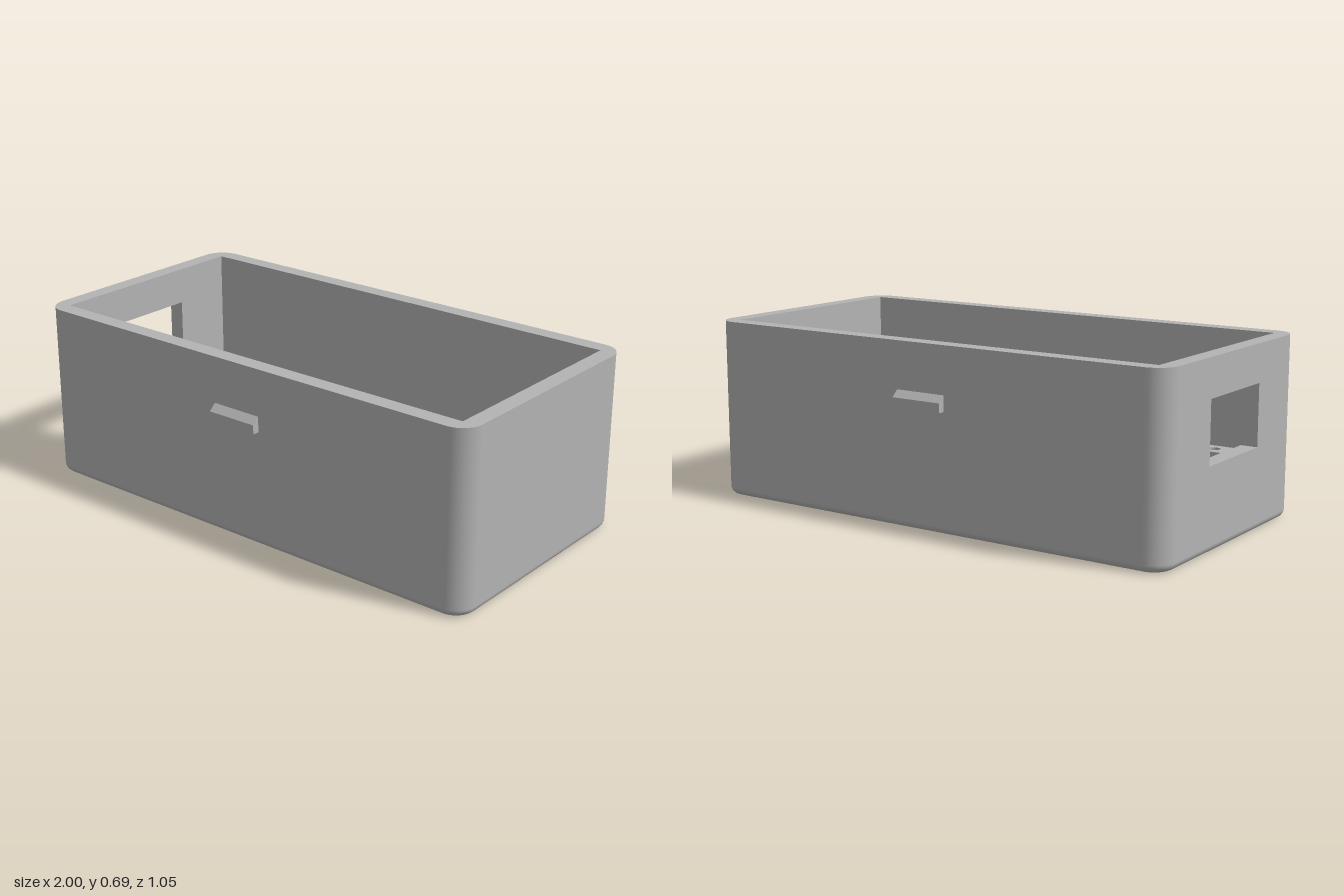
import * as THREE from 'three';

const W = 1, D = 0.5, H = 0.695;          // half length, half depth, height
const WALL = 0.065, FLOOR = 0.06;
const R = 0.085, FILLET = 0.03, SEG = 8;  // corner radius, bottom rounding
const WIN = { z: 0.185, y0: 0.315, y1: 0.55 };

const grey = new THREE.MeshStandardMaterial({ color: 0xb3b3b3 });
grey.name = 'light grey';

function add(group, name, geo, pos = [0, 0, 0], rot = [0, 0, 0]) {
  const mesh = new THREE.Mesh(geo, grey);
  mesh.name = name;
  mesh.position.set(...pos);
  mesh.rotation.set(...rot);
  group.add(mesh);
  return mesh;
}

function rect(Type, x0, y0, x1, y1) {
  const s = new Type();
  s.moveTo(x0, y0); s.lineTo(x1, y0); s.lineTo(x1, y1); s.lineTo(x0, y1);
  s.closePath();
  return s;
}

// Rounded rectangle of the box outline, drawn in by an inset
function outline(inset) {
  const s = new THREE.Shape(), r = R - inset, q = Math.PI / 2;
  [[1, 1], [-1, 1], [-1, -1], [1, -1]].forEach(([sx, sy], k) =>
    s.absarc(sx * (W - R), sy * (D - R), r, k * q, (k + 1) * q, false));
  s.closePath();
  return s;
}

// Outer skin: outline loops up the bottom rounding, then straight to the rim.
// The flat end at -x is left open for the panel with the window.
function skinGeometry() {
  const pos = [], nor = [], idx = [], steps = 6, n = 4 * (SEG + 1);
  for (let i = 0; i <= steps + 1; i++) {
    const t = (1 - Math.min(i, steps) / steps) * Math.PI / 2;
    const y = i > steps ? H : FILLET * (1 - Math.sin(t));
    const r = R - FILLET * (1 - Math.cos(t));
    for (let k = 0; k < 4; k++) {
      const cx = (k === 0 || k === 3 ? 1 : -1) * (W - R), cz = (k < 2 ? 1 : -1) * (D - R);
      for (let j = 0; j <= SEG; j++) {
        const a = (k + j / SEG) * Math.PI / 2;
        pos.push(cx + r * Math.cos(a), y, cz + r * Math.sin(a));
        nor.push(Math.cos(a) * Math.cos(t), -Math.sin(t), Math.sin(a) * Math.cos(t));
      }
    }
  }
  for (let i = 0; i <= steps; i++) {
    for (let j = 0; j < n; j++) {
      if (i === steps && j === 2 * SEG + 1) continue;
      const a = i * n + j, c = i * n + (j + 1) % n;
      idx.push(a, a + n, c, a + n, c + n, c);
    }
  }
  const g = new THREE.BufferGeometry();
  g.setAttribute('position', new THREE.Float32BufferAttribute(pos, 3));
  g.setAttribute('normal', new THREE.Float32BufferAttribute(nor, 3));
  g.setIndex(idx);
  return g;
}

function windowPanel(halfWidth, bottom) {
  const s = rect(THREE.Shape, -halfWidth, bottom, halfWidth, H);
  s.holes.push(rect(THREE.Path, -WIN.z, WIN.y0, WIN.z, WIN.y1));
  return new THREE.ShapeGeometry(s);
}

function makeShell() {
  const g = new THREE.Group(), q = Math.PI / 2;
  g.name = 'shell';
  const ix = W - WALL, iz = D - WALL, ih = H - FLOOR, my = (H + FLOOR) / 2;
  add(g, 'outerWalls', skinGeometry());
  add(g, 'windowWallOuter', windowPanel(D - R, FILLET), [-W, 0, 0], [0, -q, 0]);
  add(g, 'underside', new THREE.ShapeGeometry(outline(FILLET), SEG), [0, 0, 0], [q, 0, 0]);

  const rim = outline(0);
  rim.holes.push(rect(THREE.Path, -ix, -iz, ix, iz));
  add(g, 'rim', new THREE.ShapeGeometry(rim, SEG), [0, H, 0], [-q, 0, 0]);

  // Square-cornered cavity
  add(g, 'innerFloor', new THREE.PlaneGeometry(2 * ix, 2 * iz), [0, FLOOR, 0], [-q, 0, 0]);
  add(g, 'innerBackWall', new THREE.PlaneGeometry(2 * ix, ih), [0, my, -iz]);
  add(g, 'innerFrontWall', new THREE.PlaneGeometry(2 * ix, ih), [0, my, iz], [0, Math.PI, 0]);
  add(g, 'innerLeftWall', new THREE.PlaneGeometry(2 * iz, ih), [ix, my, 0], [0, -q, 0]);
  add(g, 'windowWallInner', windowPanel(iz, FLOOR), [-ix, 0, 0], [0, q, 0]);

  // Faces through the thickness of the window
  const mx = -W + WALL / 2, wy = (WIN.y0 + WIN.y1) / 2;
  const side = new THREE.PlaneGeometry(WALL, WIN.y1 - WIN.y0);
  const level = new THREE.PlaneGeometry(WALL, 2 * WIN.z);
  add(g, 'windowSill', level, [mx, WIN.y0, 0], [-q, 0, 0]);
  add(g, 'windowHead', level, [mx, WIN.y1, 0], [q, 0, 0]);
  add(g, 'windowJambBack', side, [mx, wy, -WIN.z]);
  add(g, 'windowJambFront', side, [mx, wy, WIN.z], [0, Math.PI, 0]);
  return g;
}

// Raised block with a row of seven round sockets
function socketGeometry() {
  const s = rect(THREE.Shape, -0.875, -0.052, -0.27, 0.052);
  for (let i = 0; i < 7; i++) {
    const hole = new THREE.Path();
    hole.absarc(-0.805 + i * 0.0763, 0, 0.023, 0, Math.PI * 2, true);
    s.holes.push(hole);
  }
  return new THREE.ExtrudeGeometry(s, { depth: 0.277 - FLOOR, bevelEnabled: false, curveSegments: 16 });
}

// Catch with a sloped top, running along the wall
function catchGeometry() {
  const s = new THREE.Shape([[0.49, 0.455], [0.527, 0.455], [0.527, 0.49], [0.5, 0.515], [0.49, 0.515]]
    .map(([x, y]) => new THREE.Vector2(x, y)));
  return new THREE.ExtrudeGeometry(s, { depth: 0.21, bevelEnabled: false }).translate(0, 0, -0.105);
}

export function createModel() {
  const model = new THREE.Group();
  model.name = 'enclosure';
  model.add(makeShell());
  const socket = socketGeometry(), latch = catchGeometry();
  for (const [side, s] of [['front', 1], ['back', -1]]) {
    add(model, side + 'SocketStrip', socket, [0, FLOOR, s * 0.23], [-Math.PI / 2, 0, 0]);
    add(model, side + 'Catch', latch, [0, 0, 0], [0, -s * Math.PI / 2, 0]);
  }
  return model;
}
